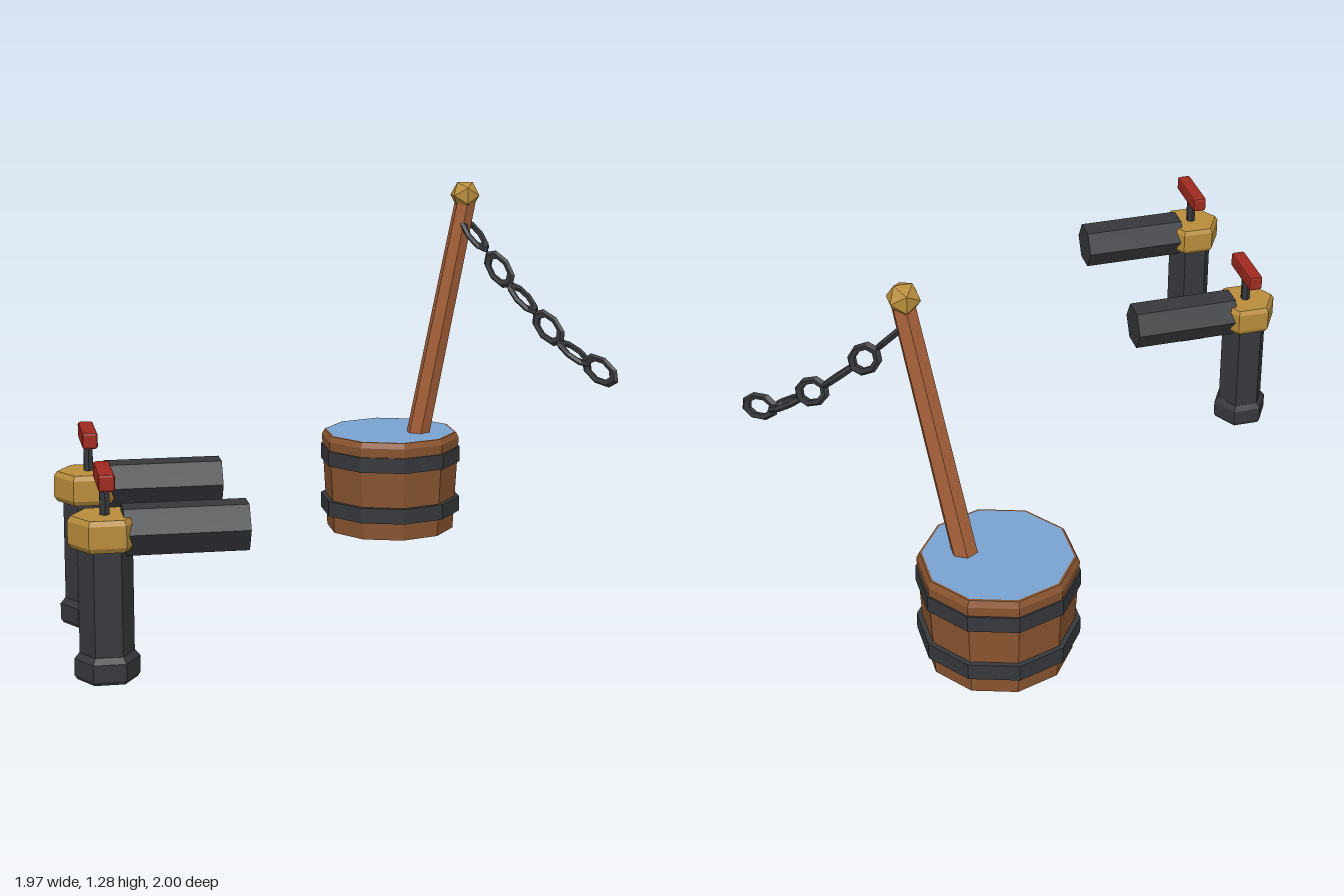
import * as THREE from 'three';
import { RoundedBoxGeometry } from 'three/addons/geometries/RoundedBoxGeometry.js';

const mat = (color) => new THREE.MeshStandardMaterial({ color, flatShading: true });
const wood = mat(0x8a5530), postWood = mat(0xa9623a), iron = mat(0x36383c);
const brass = mat(0xb98d3c), red = mat(0xa02a20), water = mat(0x7aa3d2);

function add(parent, name, geometry, material, x = 0, y = 0, z = 0) {
  const mesh = new THREE.Mesh(geometry, material);
  mesh.name = name;
  mesh.position.set(x, y, z);
  parent.add(mesh);
  return mesh;
}

// Faceted turned shape from [radius, height] pairs, listed bottom to top
const turned = (profile, sides) =>
  new THREE.LatheGeometry(profile.map(([r, y]) => new THREE.Vector2(r, y)), sides);

// Hexagonal standpipe with a side spout and a valve handle
function createPipe(z) {
  const pipe = new THREE.Group();
  pipe.name = 'standpipe';
  pipe.position.set(-0.882, 0, z);

  const hex = (name, profile, material) => {
    add(pipe, name, turned(profile, 6), material).rotation.y = Math.PI / 2;
  };
  hex('pipeFoot', [[0, 0], [0.088, 0], [0.096, 0.012], [0.096, 0.062], [0.081, 0.08], [0, 0.08]], iron);
  hex('pipeColumn', [[0, 0.05], [0.08, 0.05], [0.08, 0.42], [0, 0.42]], iron);
  hex('collar', [[0, 0.393], [0.098, 0.393], [0.108, 0.408], [0.108, 0.473], [0.098, 0.488], [0, 0.488]], brass);

  const spout = add(pipe, 'spout', new THREE.CylinderGeometry(0.079, 0.079, 0.365, 6), iron, 0.2325, 0.44, 0);
  spout.rotation.z = -Math.PI / 2;

  add(pipe, 'valveStem', new THREE.CylinderGeometry(0.016, 0.016, 0.12, 6), iron, 0, 0.53, 0);
  add(pipe, 'valveHandle', new RoundedBoxGeometry(0.048, 0.052, 0.193, 1, 0.008), red, 0, 0.599, 0);
  return pipe;
}

// Ten-sided tub with two hoops and water
function createTub() {
  const tub = new THREE.Group();
  tub.name = 'tub';
  tub.position.set(0.303, 0, -0.743);
  add(tub, 'tubBody', turned([[0, 0], [0.233, 0], [0.253, 0.34], [0.243, 0.36], [0, 0.36]], 10), wood);
  for (const y of [0.093, 0.279]) {
    add(tub, 'hoop', new THREE.CylinderGeometry(0.257, 0.257, 0.055, 10), iron, 0, y, 0);
  }
  const surface = new THREE.CircleGeometry(0.236, 10, Math.PI / 2);
  add(tub, 'water', surface, water, 0, 0.361, 0).rotation.x = -Math.PI / 2;
  return tub;
}

// Leaning post with a faceted knob
function createPost() {
  const post = new THREE.Group();
  post.name = 'post';
  const foot = new THREE.Vector3(0.388, 0.3, -0.703);
  const head = new THREE.Vector3(0.545, 1.215, -0.602);
  const axis = head.clone().sub(foot);
  const mid = foot.clone().add(head).multiplyScalar(0.5);
  const shaft = add(post, 'postShaft', new THREE.CylinderGeometry(0.038, 0.043, axis.length(), 6), postWood, mid.x, mid.y, mid.z);
  shaft.quaternion.setFromUnitVectors(new THREE.Vector3(0, 1, 0), axis.normalize());
  add(post, 'postKnob', new THREE.IcosahedronGeometry(0.054, 0), brass, 0.543, 1.236, -0.602);
  return post;
}

// Sagging chain whose links turn a quarter from one to the next
function createChain() {
  const chain = new THREE.Group();
  chain.name = 'chain';
  const centres = [
    [0.573, 1.095, -0.572], [0.645, 0.98, -0.495], [0.712, 0.885, -0.42],
    [0.785, 0.79, -0.34], [0.857, 0.71, -0.262], [0.928, 0.66, -0.182],
  ].map((p) => new THREE.Vector3(...p));
  const link = new THREE.TorusGeometry(0.038, 0.012, 5, 8).scale(1.62, 1, 0.85);
  const up = new THREE.Vector3(0, 1, 0);
  centres.forEach((c, i) => {
    const before = centres[Math.max(i - 1, 0)];
    const after = centres[Math.min(i + 1, centres.length - 1)];
    const along = after.clone().sub(before).normalize();
    const side = along.clone().cross(up).normalize();
    const across = i % 2 ? side.clone().cross(along) : side;
    const normal = along.clone().cross(across);
    const mesh = add(chain, 'chainLink', link, iron, c.x, c.y, c.z);
    mesh.quaternion.setFromRotationMatrix(new THREE.Matrix4().makeBasis(along, across, normal));
  });
  return chain;
}

export function createModel() {
  const model = new THREE.Group();
  model.name = 'waterTubAndPipes';
  model.add(createPipe(0.305), createPipe(0.902), createTub(), createPost(), createChain());
  return model;
}
